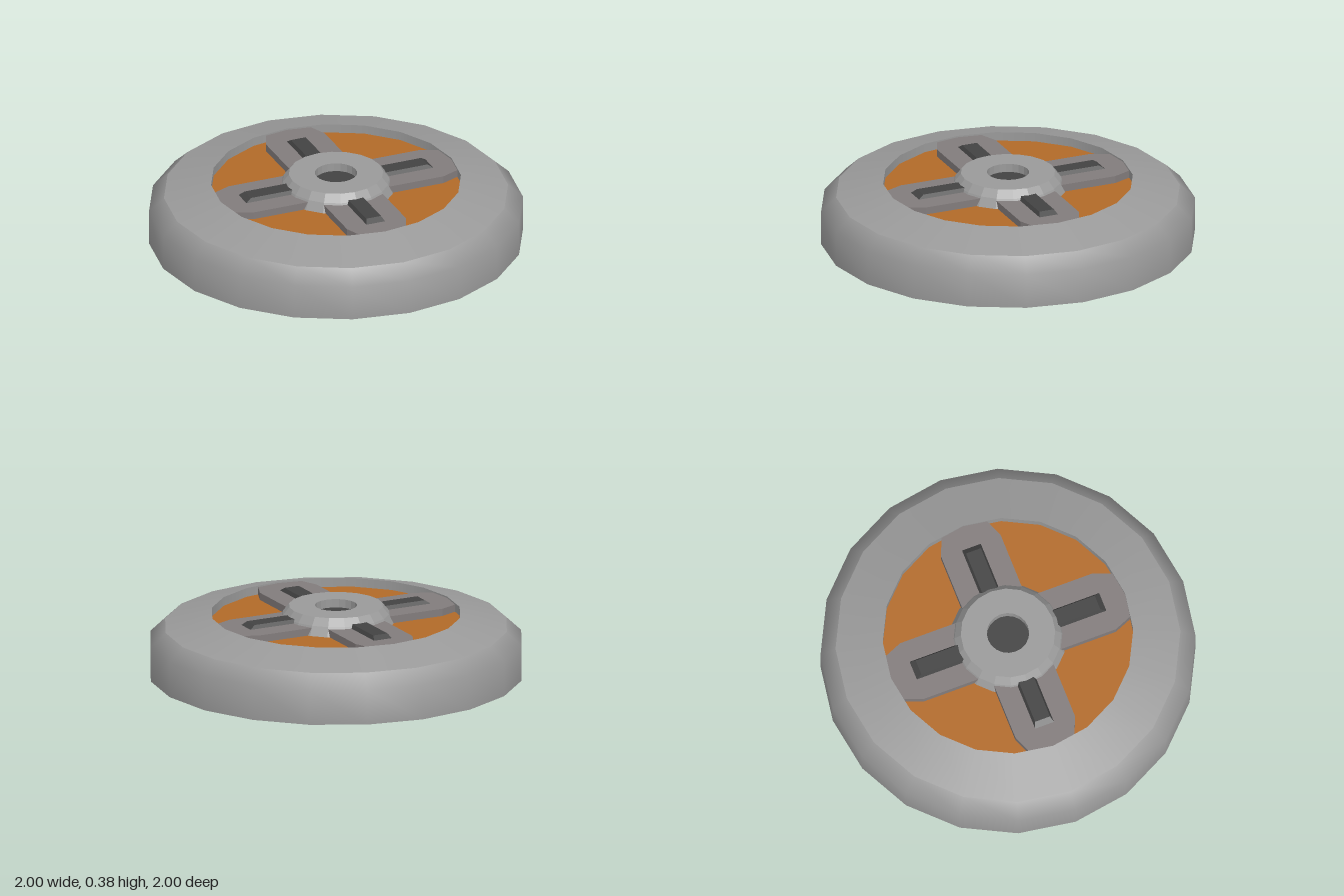
import * as THREE from 'three';

const SIDES = 20;
const FLOOR = 0.285, SPOKE_TOP = 0.325;

const paint = (color, flatShading = false) =>
  new THREE.MeshStandardMaterial({ color, flatShading });
const grey = paint(0x9a9a9a);
const facetedGrey = paint(0x9a9a9a, true);
const orange = paint(0xb26a28);
const warmGrey = paint(0x827c7c);
const dark = paint(0x434343);

function add(parent, name, geometry, material) {
  const mesh = new THREE.Mesh(geometry, material);
  mesh.name = name;
  parent.add(mesh);
}

// Turned part from [radius, height] pairs
const turned = (points) =>
  new THREE.LatheGeometry(points.map(([r, y]) => new THREE.Vector2(r, y)), SIDES);

// Flat disc facing up or down
function disc(radius, y, up = true) {
  const g = new THREE.CircleGeometry(radius, SIDES);
  g.rotateX(up ? -Math.PI / 2 : Math.PI / 2);
  return g.translate(0, y, 0);
}

// Spoke plate with clipped outer corners, pointing to -z
function spokeGeometry() {
  const shape = new THREE.Shape([
    [-0.17, 0.2], [0.17, 0.2], [0.17, 0.55], [0.13, 0.647],
    [0, 0.668], [-0.13, 0.647], [-0.17, 0.55],
  ].map(([x, y]) => new THREE.Vector2(x, y)));
  const depth = SPOKE_TOP - FLOOR;
  return new THREE.ExtrudeGeometry(shape, { depth, bevelEnabled: false })
    .rotateX(-Math.PI / 2).translate(0, FLOOR, 0);
}

// Bar with sloped sides and a sloped outer end
function barGeometry() {
  const g = new THREE.BoxGeometry(0.118, 0.03, 0.3);
  const p = g.attributes.position;
  for (let i = 0; i < p.count; i++) {
    if (p.getY(i) < 0) continue;
    p.setX(i, p.getX(i) * 0.72);
    if (p.getZ(i) < 0) p.setZ(i, p.getZ(i) + 0.045);
  }
  const flat = g.toNonIndexed();
  flat.computeVertexNormals();
  return flat.translate(0, 0.33, -0.406);
}

export function createModel() {
  const model = new THREE.Group();
  model.name = 'wheelDisc';

  // Outer body: rounded wall, sloping ring, inner lip, underside
  add(model, 'outerWall', turned([[1, 0], [1, 0.19], [0.92, 0.265]]), grey);
  add(model, 'topRing', turned([[0.92, 0.265], [0.668, 0.333]]), grey);
  add(model, 'innerLip', turned([[0.668, 0.333], [0.668, FLOOR]]), grey);
  add(model, 'underside', disc(1, 0, false), grey);

  // Recessed coloured floor
  add(model, 'recessFloor', disc(0.668, FLOOR), orange);

  // Four spokes, each with a raised bar
  const spokeGeo = spokeGeometry(), barGeo = barGeometry();
  for (let i = 0; i < 4; i++) {
    const arm = new THREE.Group();
    arm.name = 'spokeArm' + (i + 1);
    arm.rotation.y = (i * Math.PI) / 2;
    add(arm, 'spoke', spokeGeo, warmGrey);
    add(arm, 'spokeBar', barGeo, dark);
    model.add(arm);
  }

  // Central faceted hub with a shallow bore
  add(model, 'hub', turned([
    [0.31, FLOOR], [0.285, 0.335], [0.252, 0.376], [0.113, 0.376], [0.113, 0.33],
  ]), facetedGrey);
  add(model, 'boreFloor', disc(0.113, 0.33), dark);

  return model;
}
